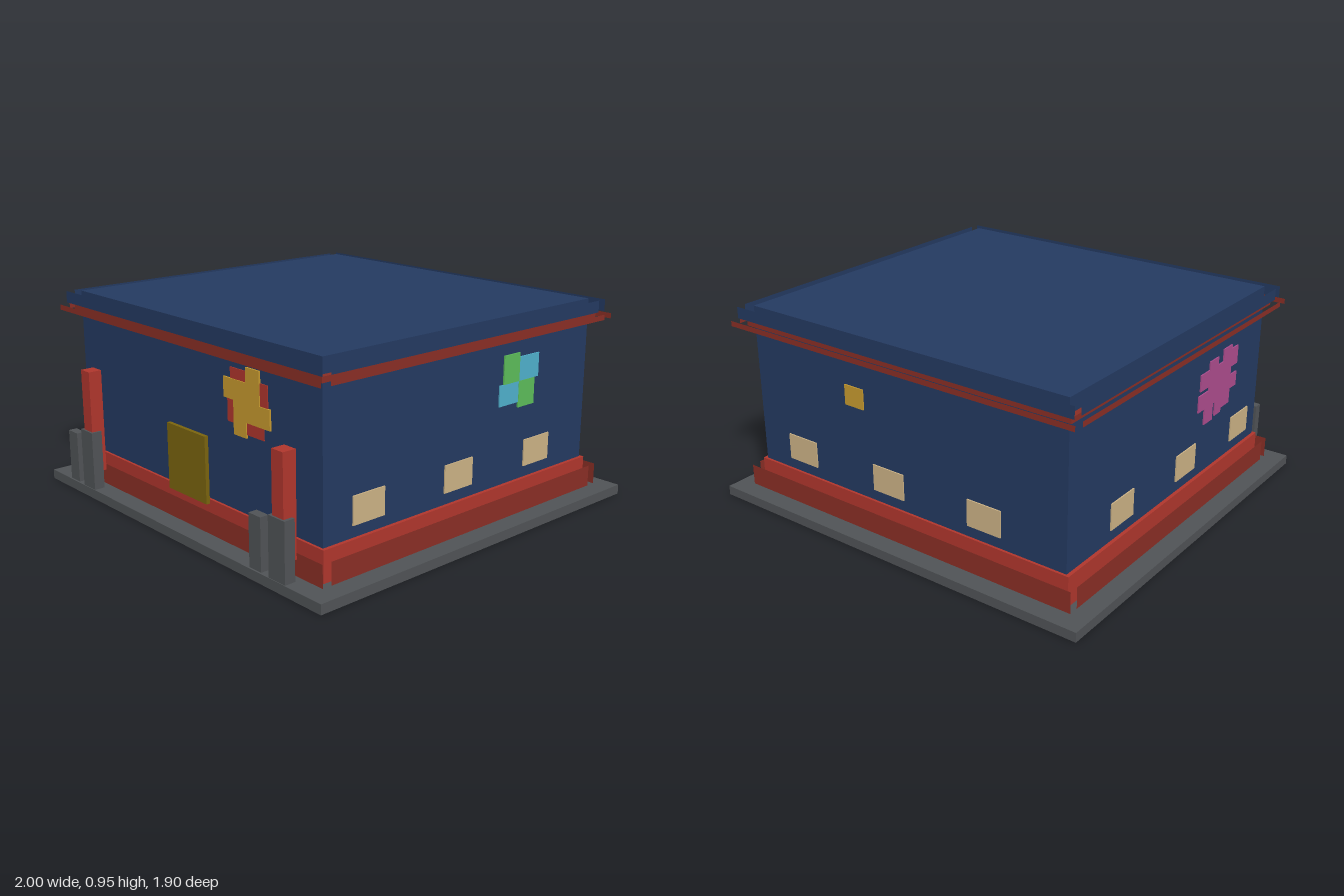
import * as THREE from 'three';

const paint = (name, color) => {
  const m = new THREE.MeshStandardMaterial({ color });
  m.name = name;
  return m;
};

export function createModel() {
  const navy = paint('navy', 0x243a61);
  const darkRed = paint('dark red', 0x8a2e25);
  const red = paint('red', 0xb0362d);
  const grey = paint('grey', 0x505356);
  const bronze = paint('bronze', 0x7a640e);
  const gold = paint('gold', 0xc79a2f);
  const green = paint('green', 0x5cbc5a);
  const cyan = paint('cyan', 0x4fb0cc);
  const tan = paint('tan', 0xccb285);
  const pink = paint('pink', 0xad4c8e);
  // Strips and plates are open sheets, seen from both sides
  [navy, darkRed].forEach((m) => { m.side = THREE.DoubleSide; });

  const model = new THREE.Group();
  model.name = 'building';

  // Box given by its limits on each axis
  const box = (name, mat, x0, x1, y0, y1, z0, z1) => {
    const mesh = new THREE.Mesh(new THREE.BoxGeometry(x1 - x0, y1 - y0, z1 - z0), mat);
    mesh.position.set((x0 + x1) / 2, (y0 + y1) / 2, (z0 + z1) / 2);
    mesh.name = name;
    model.add(mesh);
  };

  const HX = 0.86, HZ = 0.815; // half sizes of the walls

  // Ground slab, walls, plinth core and cornice ledge
  box('groundSlab', grey, -1, 1, 0, 0.045, -0.95, 0.95);
  box('walls', navy, -HX, HX, 0.045, 0.948, -HZ, HZ);
  box('plinthCore', red, -0.877, 0.877, 0.045, 0.185, -0.827, 0.827);
  box('corniceLedge', darkRed, -0.885, 0.885, 0.855, 0.88, -0.84, 0.84);

  // Thin sheets standing off all four walls
  const skirt = (name, mat, x, z, sideZ, y0, y1) => {
    for (const s of [-1, 1]) {
      const front = new THREE.Mesh(new THREE.PlaneGeometry(2 * x, y1 - y0), mat);
      front.position.set(0, (y0 + y1) / 2, s * z);
      front.rotation.y = s > 0 ? 0 : Math.PI;
      const side = new THREE.Mesh(new THREE.PlaneGeometry(2 * sideZ, y1 - y0), mat);
      side.position.set(s * x, (y0 + y1) / 2, 0);
      side.rotation.y = s * Math.PI / 2;
      front.name = side.name = name;
      model.add(front, side);
    }
  };
  skirt('plinthStrip', darkRed, 0.915, 0.865, 0.82, 0.05, 0.15);
  skirt('corniceStrip', darkRed, 0.935, 0.89, 0.84, 0.855, 0.88);
  skirt('parapetStrip', navy, 0.915, 0.865, 0.82, 0.89, 0.945);

  // Thin plate on a wall: u runs along x or z
  const plate = (name, mat, wall, u0, u1, y0, y1, t = 0.006) => {
    if (wall === 'front') box(name, mat, u0, u1, y0, y1, HZ, HZ + t);
    if (wall === 'back') box(name, mat, u0, u1, y0, y1, -HZ - t, -HZ);
    if (wall === 'right') box(name, mat, HX, HX + t, y0, y1, u0, u1);
    if (wall === 'left') box(name, mat, -HX - t, -HX, y0, y1, u0, u1);
  };

  // Rows of low windows
  const rows = {
    right: [-0.56, -0.04, 0.487],
    left: [-0.5, 0.035, 0.555],
    back: [-0.535, -0.01, 0.515],
  };
  for (const [wall, starts] of Object.entries(rows))
    for (const u of starts) plate('window', tan, wall, u, u + 0.174, 0.237, 0.362);
  plate('backPanel', gold, 'back', 0.203, 0.31, 0.61, 0.705);

  // Front door
  box('door', bronze, -0.09, 0.185, 0.185, 0.487, 0.857, 0.875);

  // Patchwork panels
  const patch = (name, mat, wall, rects, t) => rects.forEach((r) => plate(name, mat, wall, ...r, t));
  patch('frontPanelRed', red, 'front', [
    [0.297, 0.4, 0.74, 0.802], [0.48, 0.538, 0.66, 0.77],
    [0.275, 0.33, 0.567, 0.68], [0.39, 0.512, 0.535, 0.6],
  ], 0.004);
  patch('frontPanelGold', gold, 'front', [
    [0.403, 0.49, 0.675, 0.82], [0.255, 0.403, 0.667, 0.755],
    [0.32, 0.403, 0.52, 0.667], [0.403, 0.555, 0.587, 0.675],
  ], 0.008);
  patch('rightPanelGreen', green, 'right', [
    [-0.33, -0.227, 0.646, 0.775], [-0.436, -0.328, 0.525, 0.646],
  ], 0.007);
  patch('rightPanelCyan', cyan, 'right', [
    [-0.462, -0.33, 0.646, 0.755], [-0.328, -0.202, 0.55, 0.646],
  ], 0.006);
  patch('leftPanelPink', pink, 'left', [
    [0.22, 0.3, 0.61, 0.69], [0.3, 0.38, 0.59, 0.73], [0.38, 0.43, 0.59, 0.69],
    [0.43, 0.51, 0.6, 0.75], [0.51, 0.57, 0.64, 0.73], [0.21, 0.33, 0.51, 0.59],
    [0.33, 0.43, 0.51, 0.59], [0.43, 0.57, 0.53, 0.6], [0.27, 0.35, 0.43, 0.51],
    [0.37, 0.43, 0.44, 0.51], [0.43, 0.51, 0.46, 0.53],
  ], 0.006);

  // Gate posts and short bollards
  const posts = [
    { post: [-0.692, -0.623, 0.615], foot: [-0.709, -0.612, 0.325], bollard: [-0.835, -0.76, 0.288] },
    { post: [0.703, 0.772, 0.582], foot: [0.688, 0.788, 0.31], bollard: [0.56, 0.634, 0.28] },
  ];
  for (const { post, foot, bollard } of posts) {
    box('postShaft', red, post[0], post[1], 0.127, post[2], 0.873, 0.938);
    box('postFoot', grey, foot[0], foot[1], 0.045, foot[2], 0.895, 0.947);
    box('bollard', grey, bollard[0], bollard[1], 0.045, bollard[2], 0.9, 0.942);
  }
  return model;
}
